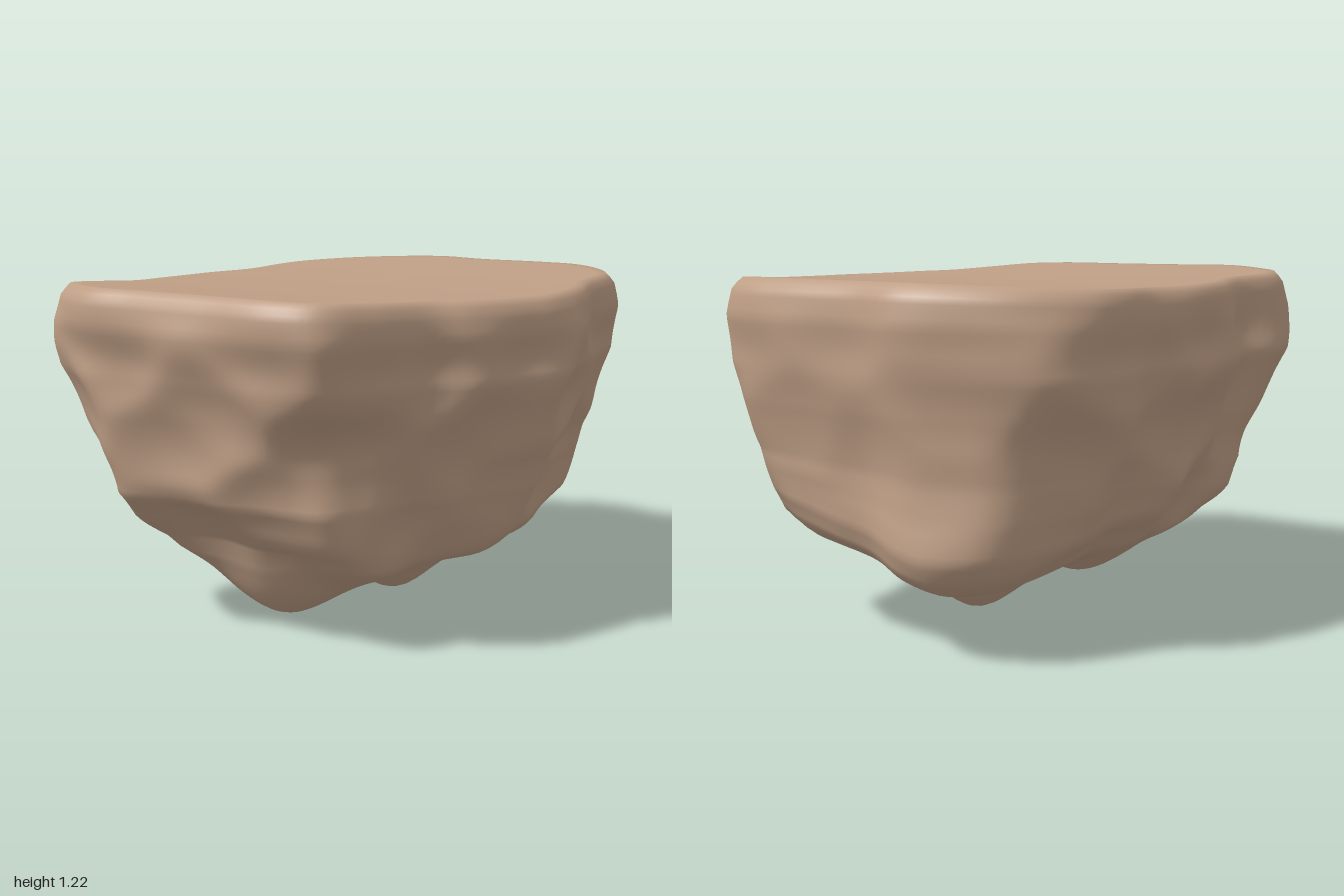
import * as THREE from 'three';
import { mergeVertices } from 'three/addons/utils/BufferGeometryUtils.js';

const SIDES = 180;

// Plan outline of the rock at its widest, as [x, z]
const OUTLINE = [
  [-1, -.42], [-.93, -.58], [-.82, -.72], [-.7, -.75], [-.53, -.71], [-.3, -.77], [0, -.82],
  [.25, -.8], [.48, -.83], [.63, -.81], [.8, -.7], [.93, -.52], [1, -.32], [.98, -.1],
  [.99, .2], [.97, .4], [.8, .62], [.55, .68], [.35, .76], [.05, .82], [-.08, .8],
  [-.33, .73], [-.45, .66], [-.7, .6], [-.88, .53], [-.95, .38], [-.96, .1], [-.98, -.2],
];

// Wall profile: height, then reach to the left (-x), right (+x), front (+z), back (-z)
const LEVELS = [
  [1.205, .95, .94, .94, .95],
  [1.17, .98, .98, .97, .98],
  [1.08, 1, 1, 1, 1],
  [.92, .98, .98, 1.01, 1.02],
  [.8, .95, .96, .95, .98],
  [.6, .89, .91, .86, .9],
  [.5, .86, .9, .83, .87],
  [.4, .77, .9, .77, .81],
  [.32, .68, .87, .73, .73],
];

function seeded(seed) {
  return () => (seed = (seed * 16807) % 2147483647) / 2147483647;
}

const gauss = (x, z) => Math.exp(-x * x - z * z);

// The top dips in the middle and lifts toward both ends
const topLift = (x) => .037 * x * x - .018;

// The lower edge of the right end slopes down toward the back
const endTilt = (x, z) =>
  .36 * Math.max(0, x - .3) * (THREE.MathUtils.clamp(z, -.35, .4) + .1);

// Reach of the wall in all four directions at height y
function reachAt(y) {
  let i = 0;
  while (i < LEVELS.length - 2 && y < LEVELS[i + 1][0]) i++;
  const a = LEVELS[i], b = LEVELS[i + 1];
  const t = THREE.MathUtils.clamp((a[0] - y) / (a[0] - b[0]), 0, 1);
  return a.map((v, k) => THREE.MathUtils.lerp(v, b[k], t));
}

function wallPoint(o, y) {
  const [, left, right, front, back] = reachAt(y);
  // Blend the side scales smoothly across the axes
  const bx = THREE.MathUtils.smoothstep(o.x, -.5, .5);
  const bz = THREE.MathUtils.smoothstep(o.z, -.4, .4);
  // Undercut the front left corner and fill the foot of the back right one
  const undercut = .12 * gauss((o.x + .87) / .3, (o.z - .53) / .3) * gauss((y - .7) / .2, 0);
  const foot = .09 * gauss((o.x - .87) / .35, (o.z + .58) / .35) * gauss((y - .42) / .25, 0);
  const corner = 1 - undercut + foot;
  return new THREE.Vector3(
    o.x * THREE.MathUtils.lerp(left, right, bx) * corner, y,
    o.z * THREE.MathUtils.lerp(back, front, bz) * corner);
}

// Underside: a shallow belly with two hanging points joined by a ridge
function floorHeight(x, z, s) {
  const rim = .235 + .085 * Math.pow(s, 12);
  const ridge = .14 * Math.exp(-Math.pow((x + .1) / .42, 6) - ((z + .03) / .3) ** 2);
  const tips = [
    .222 * gauss((x - .2) / .22, z / .23),
    .185 * gauss((x + .4) / .19, (z + .05) / .28),
    ridge,
  ];
  const drop = Math.cbrt(tips.reduce((sum, d) => sum + d ** 3, 0));
  return rim - drop + endTilt(x, z);
}

// Centres of the chipped hollows, spread over walls and underside
function hollowCentres(outline) {
  const rnd = seeded(4711), centres = [];
  for (const y of [1.02, .76, .5, .28]) {
    const count = y < .4 ? 11 : 15;
    for (let i = 0; i < count; i++) {
      const k = Math.floor((i + rnd() * .9) / count * SIDES) % SIDES;
      const h = y + (rnd() - .5) * .22;
      const p = wallPoint(outline[k], h);
      if (y < .4) p.multiply(new THREE.Vector3(.85, 1, .85));
      centres.push(p);
    }
  }
  return centres;
}

// Soft distance to the nearest hollow: low inside hollows, high on ridges between
function chip(p, centres) {
  let sum = 0;
  for (const c of centres) {
    const dx = p.x - c.x, dy = (p.y - c.y) * 1.25, dz = p.z - c.z;
    sum += Math.exp(-70 * (dx * dx + dy * dy + dz * dz));
  }
  const d = -Math.log(sum + 1e-9) / 70;
  return .07 * Math.tanh(d / .07);
}

function rockGeometry() {
  const curve = new THREE.CatmullRomCurve3(
    OUTLINE.map(([x, z]) => new THREE.Vector3(x, 0, z)), true);
  const outline = curve.getSpacedPoints(SIDES).slice(0, SIDES);
  const centres = hollowCentres(outline);
  const rings = [];

  // Top
  for (const s of [0, .3, .6, .8, .9, .96]) {
    rings.push(outline.map((o) => {
      const p = wallPoint(o, 1.205);
      p.x *= s;
      p.z *= s;
      p.y = 1.205 + topLift(p.x);
      return p;
    }));
  }

  // Walls
  const wallSteps = 44;
  for (let i = 0; i <= wallSteps; i++) {
    const y = THREE.MathUtils.lerp(1.205, .32, i / wallSteps);
    rings.push(outline.map((o) => {
      const p = wallPoint(o, y);
      p.y += THREE.MathUtils.smoothstep(.75 - y, 0, .43) * endTilt(p.x, p.z);
      p.y += THREE.MathUtils.smoothstep(y, 1, 1.205) * topLift(p.x);
      return p;
    }));
  }

  // Underside
  for (let i = 1; i <= 26; i++) {
    const s = 1 - i / 26;
    rings.push(outline.map((o) => {
      const p = wallPoint(o, .32);
      p.x *= s;
      p.z *= s;
      p.y = floorHeight(p.x, p.z, s);
      return p;
    }));
  }

  // Chip the surface, leaving top and rim smooth and the right end calmer
  const dir = new THREE.Vector3();
  for (const p of rings.flat()) {
    const inTop = 1 - THREE.MathUtils.smoothstep(p.y, .97, 1.18);
    const inTip = THREE.MathUtils.smoothstep(p.y, .08, .3);
    const calm = 1 - .6 * THREE.MathUtils.smoothstep(p.x, .7, .88);
    dir.set(p.x, (p.y - .75) * .5, p.z).normalize();
    p.addScaledVector(dir, (chip(p, centres) - .046) * inTop * inTip * calm);
    p.x = THREE.MathUtils.clamp(p.x, -1, 1);
    p.y = Math.max(p.y, 0);
  }

  const index = [];
  for (let i = 0; i < rings.length - 1; i++) {
    for (let j = 0; j < SIDES; j++) {
      const k = (j + 1) % SIDES;
      const a = i * SIDES + j, a1 = i * SIDES + k;
      const b = a + SIDES, b1 = a1 + SIDES;
      if (i < rings.length - 2) index.push(a, b1, b);
      else index.push(a, a1, b);
      if (i > 0 && i < rings.length - 2) index.push(a, a1, b1);
    }
  }
  const geometry = new THREE.BufferGeometry().setFromPoints(rings.flat());
  geometry.setIndex(index);
  const welded = mergeVertices(geometry, 1e-5);
  welded.computeVertexNormals();
  return welded;
}

export function createModel() {
  const group = new THREE.Group();
  group.name = 'rock';
  const stone = new THREE.MeshStandardMaterial({ color: 0xbf9f86 });
  const boulder = new THREE.Mesh(rockGeometry(), stone);
  boulder.name = 'flatToppedBoulder';
  group.add(boulder);
  return group;
}
